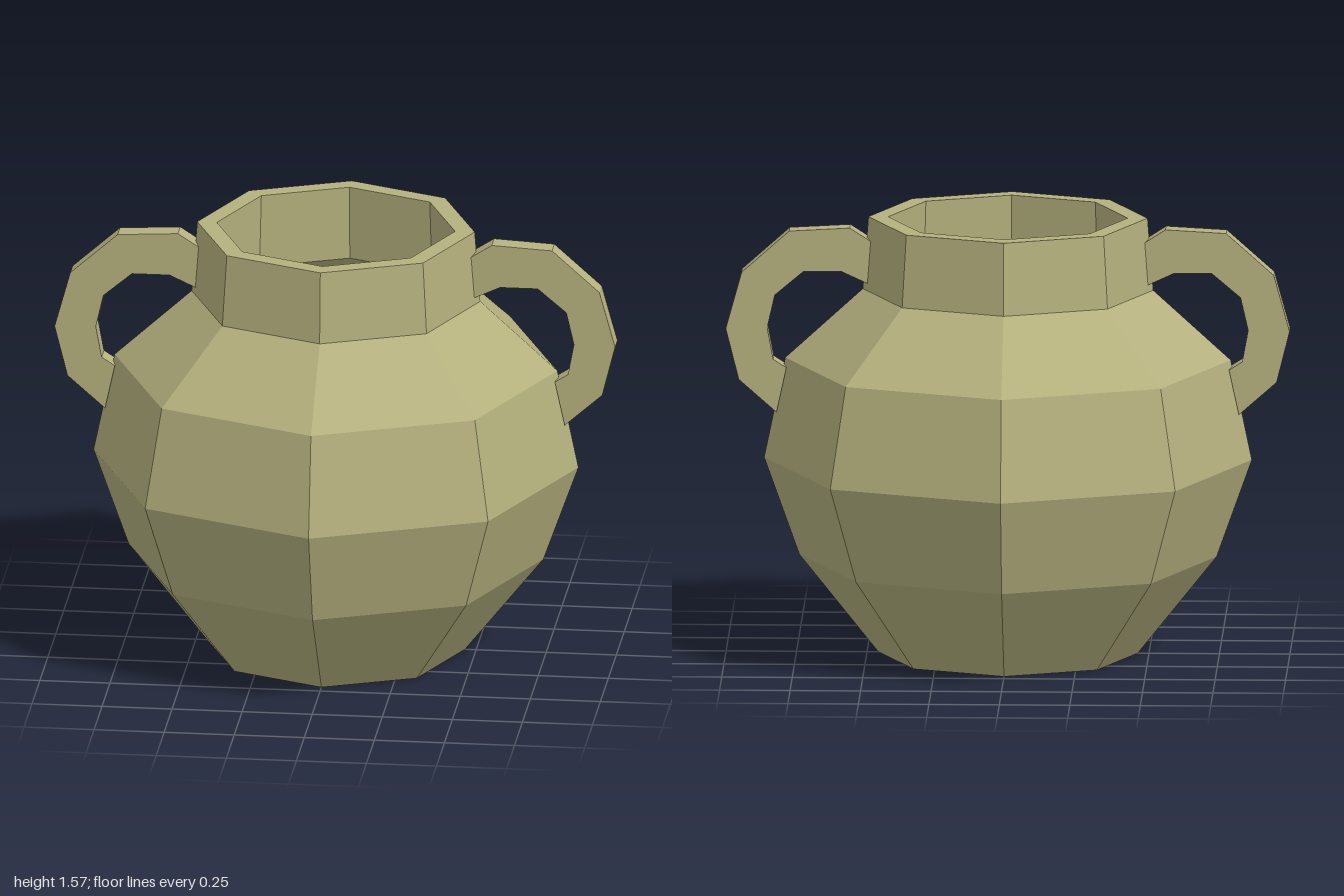
import * as THREE from 'three';

const vectors = (pairs) => pairs.map(([x, y]) => new THREE.Vector2(x, y));

export function createModel() {
  const clay = new THREE.MeshStandardMaterial({ color: 0xb5b17e, flatShading: true });
  const pot = new THREE.Group();
  pot.name = 'pot';

  // Hollow eight-sided body: up the outside, over the rim, down the inside
  const profile = vectors([
    [0, 0], [0.46, 0], [0.74, 0.35], [0.865, 0.7], [0.79, 1.06], [0.515, 1.31], [0.495, 1.57],
    [0.425, 1.57], [0.435, 1.3], [0.71, 1.03], [0.79, 0.7], [0.67, 0.38], [0.43, 0.07], [0, 0.07],
  ]);
  const body = new THREE.Mesh(new THREE.LatheGeometry(profile, 8), clay);
  body.name = 'body';
  pot.add(body);

  // Flat, faceted handle from neck to shoulder, with its ends sunk into the body
  const outline = new THREE.Shape(vectors([
    [0.475, 1.48], [0.49, 1.49], [0.56, 1.535], [0.775, 1.523], [0.944, 1.373], [1, 1.17], [0.954, 0.987], [0.82, 0.869],
    [0.785, 1.03], [0.832, 1.06], [0.853, 1.174], [0.826, 1.292], [0.724, 1.378], [0.59, 1.378], [0.475, 1.325],
  ]));
  const thickness = 0.074;
  const handleShape = new THREE.ExtrudeGeometry(outline, { depth: thickness, bevelEnabled: false });
  handleShape.translate(0, 0, -thickness / 2);

  for (const [name, turn] of [['leftHandle', 0], ['rightHandle', Math.PI]]) {
    const handle = new THREE.Mesh(handleShape, clay);
    handle.name = name;
    handle.rotation.y = turn;
    pot.add(handle);
  }
  return pot;
}
